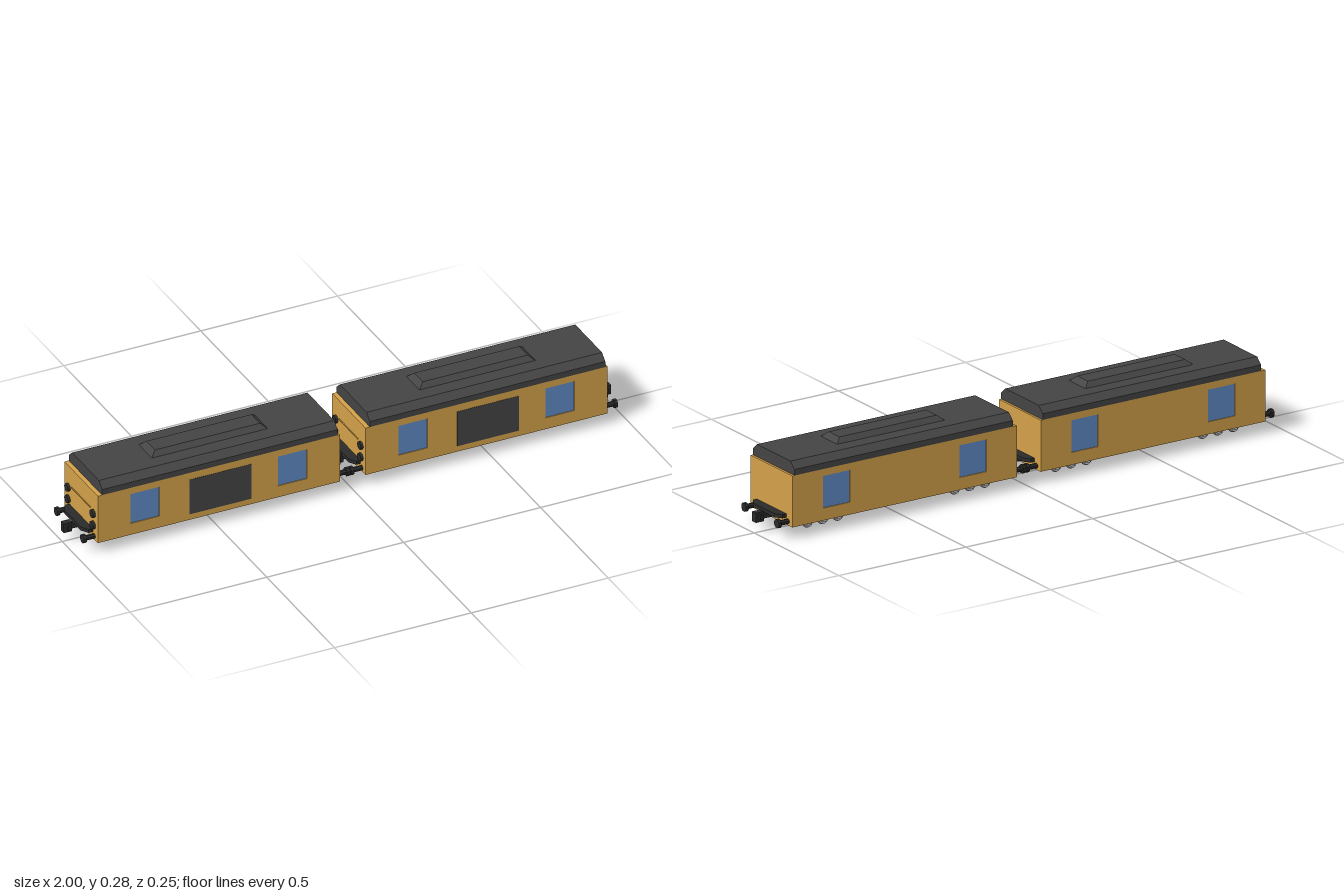
import * as THREE from 'three';

const paint = (color) => new THREE.MeshStandardMaterial({ color, flatShading: true });
const MAT = {
  body: paint(0xd4a24a), roof: paint(0x444444), dark: paint(0x2b2b2b),
  glass: paint(0x5f8ac6), grey: paint(0xcccccc),
};
const HALF = 0.442, SIDE = 0.123, FLOOR = 0.042, EAVES = 0.221;

function add(parent, name, geometry, material, x = 0, y = 0, z = 0) {
  const mesh = new THREE.Mesh(geometry, material);
  mesh.name = name;
  mesh.position.set(x, y, z);
  parent.add(mesh);
  return mesh;
}

// box given by its min and max on each axis
function box(parent, name, material, [x0, x1], [y0, y1], [z0, z1]) {
  return add(parent, name, new THREE.BoxGeometry(x1 - x0, y1 - y0, z1 - z0), material,
    (x0 + x1) / 2, (y0 + y1) / 2, (z0 + z1) / 2);
}

const polygon = (points) => new THREE.Shape(points.map(([x, y]) => new THREE.Vector2(x, y)));
const rect = (x0, x1, y0, y1) => [[x0, y0], [x1, y0], [x1, y1], [x0, y1]];
const extrude = (shape, depth) => new THREE.ExtrudeGeometry(shape, { depth, bevelEnabled: false });

// cylinder lying along x or z
function rod(parent, name, material, radius, length, axis, x, y, z, sides = 16) {
  const g = new THREE.CylinderGeometry(radius, radius, length, sides);
  if (axis === 'x') g.rotateY(Math.PI / sides).rotateZ(Math.PI / 2);
  else g.rotateX(Math.PI / 2);
  return add(parent, name, g, material, x, y, z);
}

// body shell with recessed windows
function addBody(car) {
  const recess = 0.004, inner = SIDE - recess;
  const windows = [[-0.322, -0.216], [0.216, 0.322]];
  box(car, 'bodyCore', MAT.body, [-HALF, HALF], [FLOOR, EAVES], [-inner, inner]);
  const panel = polygon(rect(-HALF, HALF, FLOOR, EAVES));
  for (const [a, b] of windows) {
    panel.holes.push(new THREE.Path(polygon(rect(a, b, 0.085, 0.197)).getPoints()));
  }
  for (const s of [1, -1]) {
    add(car, 'sidePanel', extrude(panel, recess), MAT.body, 0, 0, s > 0 ? inner : -SIDE);
    for (const [a, b] of windows) {
      box(car, 'window', MAT.glass, [a, b], [0.085, 0.197], [s * inner - 0.001, s * inner + 0.001]);
    }
  }
  // equipment grille on the front side only
  box(car, 'grille', MAT.roof, [-0.107, 0.119], [0.063, 0.195], [inner, SIDE + 0.001]);

  // lamps and handrail on the -x end
  for (const z of [-0.093, 0.093]) {
    for (const y of [0.096, 0.14]) rod(car, 'lamp', MAT.dark, 0.014, 0.01, 'x', -HALF - 0.004, y, z);
  }
  box(car, 'handrail', MAT.body, [-HALF - 0.003, -HALF], [0.15, 0.153], [-0.07, 0.07]);
}

// chamfered roof with a raised hatch
function addRoof(car) {
  const profile = polygon([[-SIDE, EAVES], [SIDE, EAVES], [SIDE, 0.242], [0.099, 0.264], [-0.099, 0.264], [-SIDE, 0.242]]);
  const roof = extrude(profile, 0.86).translate(0, 0, -0.43).rotateY(Math.PI / 2);
  add(car, 'roof', roof, MAT.roof, 0.004, 0, 0);

  const hatch = new THREE.BoxGeometry(0.426, 0.018, 0.098);
  const p = hatch.attributes.position;
  for (let i = 0; i < p.count; i++) {
    if (p.getY(i) > 0) p.setXYZ(i, p.getX(i) * 0.9, p.getY(i), p.getZ(i) * 0.64);
  }
  add(car, 'roofHatch', hatch, MAT.roof, 0.004, 0.272, 0);
}

// buffers, step and coupler, built for the +x end
function makeCouplingEnd() {
  const end = new THREE.Group();
  end.name = 'couplingEnd';
  const step = polygon([[HALF, -0.087], [HALF + 0.016, -0.087], [HALF + 0.032, -0.062],
    [HALF + 0.032, 0.062], [HALF + 0.016, 0.087], [HALF, 0.087]]);
  add(end, 'endStep', extrude(step, 0.013).rotateX(Math.PI / 2), MAT.dark, 0, 0.079, 0);
  for (const z of [-0.097, 0.097]) {
    rod(end, 'bufferShank', MAT.dark, 0.009, 0.036, 'x', HALF + 0.018, 0.056, z, 8);
    rod(end, 'bufferHead', MAT.dark, 0.0155, 0.011, 'x', HALF + 0.0395, 0.056, z, 8);
  }
  box(end, 'couplerShank', MAT.dark, [HALF, 0.49], [0.047, 0.064], [-0.01, 0.01]);
  box(end, 'couplerCrossPin', MAT.dark, [0.484, 0.498], [0.047, 0.062], [-0.018, 0.018]);
  box(end, 'couplerHead', MAT.dark, [0.48, 0.511], [0.038, 0.072], [-0.011, 0.011]);
  return end;
}

// three-axle bogie
function makeBogie() {
  const bogie = new THREE.Group();
  bogie.name = 'bogie';
  box(bogie, 'bogieFrame', MAT.grey, [-0.068, 0.068], [0.02, FLOOR], [-0.048, 0.048]);
  const axles = [-0.06, 0, 0.06];
  for (const x of axles) rod(bogie, 'axle', MAT.grey, 0.004, 0.11, 'z', x, 0.02, 0, 8);
  for (const s of [1, -1]) {
    box(bogie, 'sideFrame', MAT.grey, [-0.086, 0.086], [0.022, 0.038], [s * 0.059 - 0.002, s * 0.059 + 0.002]);
    for (const x of axles) {
      rod(bogie, 'wheelFlange', MAT.grey, 0.02, 0.004, 'z', x, 0.02, s * 0.052);
      rod(bogie, 'wheelTread', MAT.grey, 0.017, 0.006, 'z', x, 0.02, s * 0.056);
      box(bogie, 'axleBox', MAT.grey, [x - 0.009, x + 0.009], [0.011, 0.031], [s * 0.06 - 0.003, s * 0.06 + 0.003]);
    }
    for (const x of [-0.03, 0.03]) {
      box(bogie, 'spring', MAT.grey, [x - 0.008, x + 0.008], [0.026, FLOOR], [s * 0.058 - 0.003, s * 0.058 + 0.003]);
    }
  }
  return bogie;
}

function makeCar() {
  const car = new THREE.Group();
  car.name = 'car';
  addBody(car);
  addRoof(car);
  for (const turn of [0, Math.PI]) {
    const end = makeCouplingEnd();
    end.rotation.y = turn;
    car.add(end);
  }
  for (const x of [-0.303, 0.276]) {
    const bogie = makeBogie();
    bogie.position.x = x;
    car.add(bogie);
  }
  return car;
}

export function createModel() {
  const model = new THREE.Group();
  model.name = 'twoCarTrain';
  for (const x of [-0.489, 0.489]) {
    const car = makeCar();
    car.position.x = x;
    model.add(car);
  }
  return model;
}
